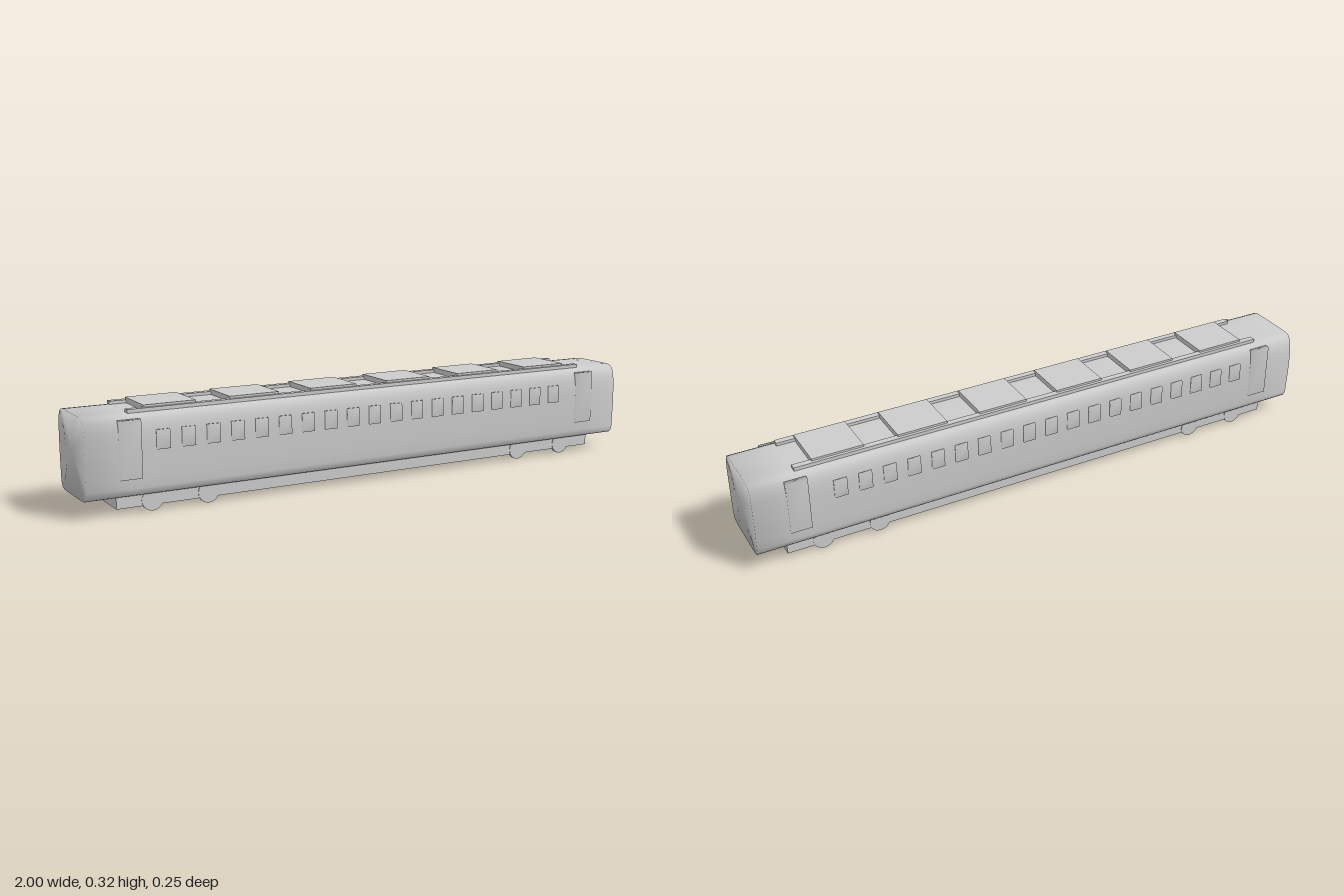
import * as THREE from 'three';
import { mergeVertices } from 'three/addons/utils/BufferGeometryUtils.js';

const material = new THREE.MeshStandardMaterial({ color: 0xcccccc });

function add(parent, name, geometry, x = 0, y = 0, z = 0) {
  const mesh = new THREE.Mesh(geometry, material);
  mesh.name = name;
  mesh.position.set(x, y, z);
  parent.add(mesh);
  return mesh;
}

// Box given by its size; corners share normals so each face shades softly
function softBox(w, h, d) {
  const box = new THREE.BoxGeometry(w, h, d);
  box.deleteAttribute('normal');
  box.deleteAttribute('uv');
  const soft = mergeVertices(box);
  soft.computeVertexNormals();
  return soft;
}

// Rounded cross-section swept along x, closed by smoothly shaded ends
function bodyGeometry() {
  const half = [ // [z, y] from the floor up to the roof
    [0.06, 0.053], [0.092, 0.054], [0.105, 0.058], [0.113, 0.067], [0.117, 0.082],
    [0.118, 0.115], [0.12, 0.16], [0.12, 0.215], [0.119, 0.245], [0.116, 0.268],
    [0.111, 0.287], [0.102, 0.3], [0.09, 0.306], [0.072, 0.308], [0.035, 0.308],
  ];
  const ring = [...half, ...half.map(([z, y]) => [-z, y]).reverse()];
  const stations = [-1, -0.86, -0.4, 0, 0.4, 0.86, 1];
  const n = ring.length;
  const positions = [];
  const index = [];
  for (const x of stations) for (const [z, y] of ring) positions.push(x, y, z);
  for (let i = 0; i < stations.length - 1; i++) {
    for (let j = 0; j < n; j++) {
      const a = i * n + j, b = i * n + (j + 1) % n;
      index.push(a, a + n, b, b, a + n, b + n);
    }
  }
  const back = stations.length * n, last = back - n;
  positions.push(-1, 0.19, 0, 1, 0.19, 0);
  for (let j = 0; j < n; j++) {
    const k = (j + 1) % n;
    index.push(back, j, k, back + 1, last + k, last + j);
  }
  const geometry = new THREE.BufferGeometry();
  geometry.setAttribute('position', new THREE.Float32BufferAttribute(positions, 3));
  geometry.setIndex(index);
  geometry.computeVertexNormals();
  return geometry;
}

export function createModel() {
  const model = new THREE.Group();
  model.name = 'railwayCarriage';

  add(model, 'body', bodyGeometry());
  add(model, 'underframe', new THREE.BoxGeometry(1.8, 0.042, 0.182), 0, 0.039, 0);

  // Windows and doors on both sides
  const windowShape = softBox(0.043, 0.06, 0.012);
  const doorShape = softBox(0.07, 0.18, 0.018);
  const wheelShape = new THREE.CylinderGeometry(0.035, 0.035, 0.011, 24).rotateX(Math.PI / 2);
  for (const side of [1, -1]) {
    const label = side > 0 ? 'front' : 'back';
    const windows = new THREE.Group();
    windows.name = label + 'Windows';
    model.add(windows);
    for (let i = 0; i < 19; i++) {
      const pane = add(windows, 'window', windowShape, -0.756 + i * 0.082, 0.225, side * 0.119);
      pane.rotation.x = -side * 0.03;
    }
    for (const x of [-0.86, 0.857]) add(model, label + 'Door', doorShape, x, 0.202, side * 0.115);

    // Wheels just showing below the underframe
    for (const x of [-0.785, -0.6, 0.59, 0.78]) {
      add(model, label + 'Wheel', wheelShape, x, 0.035, side * 0.0875);
    }

    // Roof rail
    add(model, label + 'RoofRail', new THREE.BoxGeometry(1.705, 0.018, 0.021), -0.002, 0.309, side * 0.078);
  }

  // Roof panels
  for (let i = 0; i < 6; i++) {
    add(model, 'roofPanel', new THREE.BoxGeometry(0.17, 0.024, 0.156), -0.715 + i * 0.284, 0.313, 0);
  }
  return model;
}
